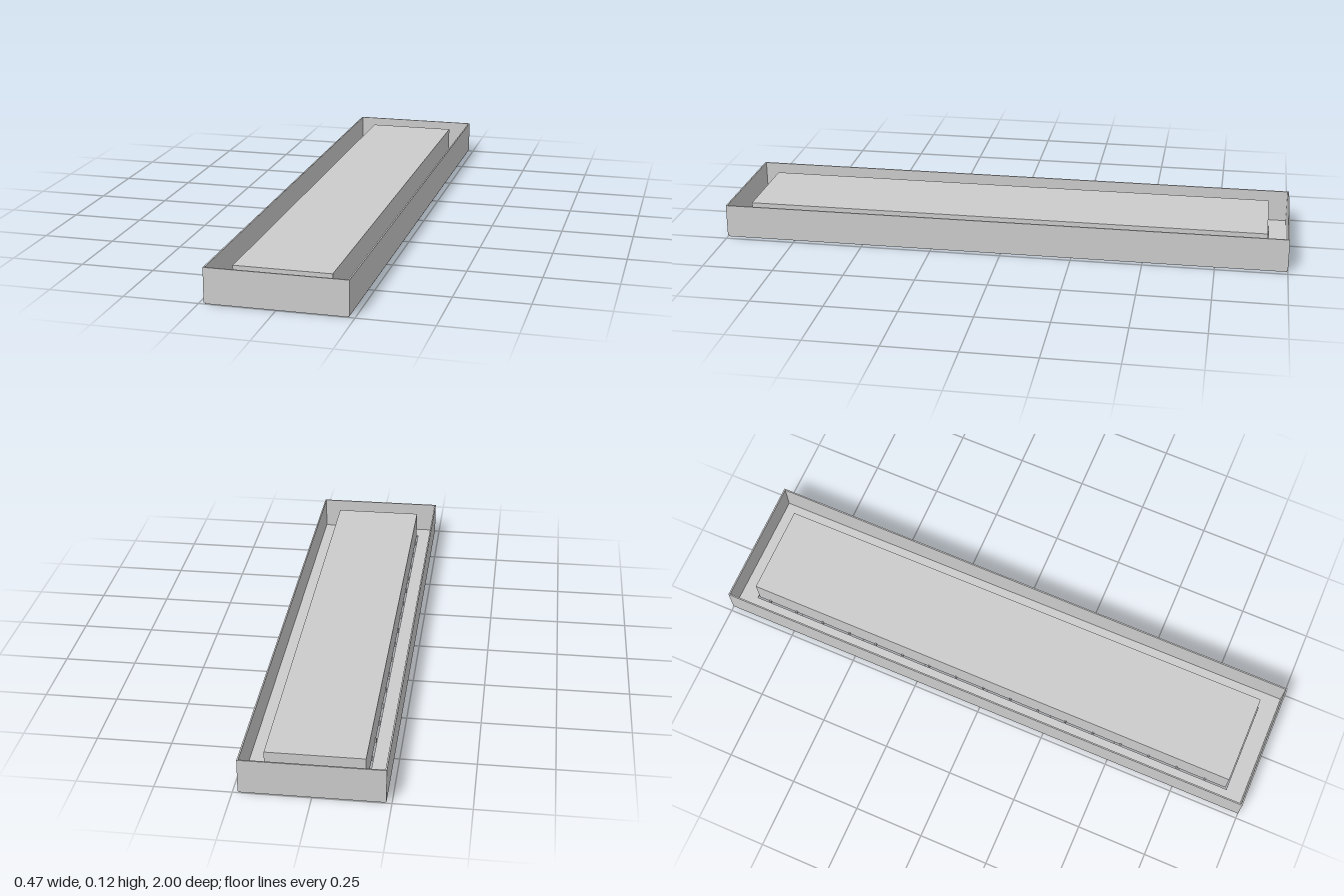
import * as THREE from 'three';

const material = new THREE.MeshStandardMaterial({ color: 0xcccccc });

function add(parent, name, geometry, x = 0, y = 0, z = 0) {
  const mesh = new THREE.Mesh(geometry, material);
  mesh.name = name;
  mesh.position.set(x, y, z);
  parent.add(mesh);
  return mesh;
}

// Four upright walls around a rectangle, given by its outer half sizes
function addWalls(parent, name, hx, hz, y0, y1, t) {
  const h = y1 - y0;
  const y = (y0 + y1) / 2;
  for (const s of [-1, 1]) {
    add(parent, name + 'Side', new THREE.BoxGeometry(t, h, hz * 2), s * (hx - t / 2), y, 0);
    add(parent, name + 'End', new THREE.BoxGeometry((hx - t) * 2, h, t), 0, y, s * (hz - t / 2));
  }
}

export function createModel() {
  const model = new THREE.Group();
  model.name = 'recessedLightFitting';

  // Outer tray walls, open at the top
  addWalls(model, 'trayWall', 0.233, 1, 0.005, 0.12, 0.005);

  // Flat bottom frame with a long rectangular opening
  const rect = (Type, hx, hz) => new Type([
    new THREE.Vector2(-hx, -hz), new THREE.Vector2(hx, -hz),
    new THREE.Vector2(hx, hz), new THREE.Vector2(-hx, hz),
  ]);
  const frame = rect(THREE.Shape, 0.23, 0.997);
  frame.holes.push(rect(THREE.Path, 0.167, 0.932));
  const frameGeometry = new THREE.ExtrudeGeometry(frame, { depth: 0.006, bevelEnabled: false });
  frameGeometry.rotateX(-Math.PI / 2);
  add(model, 'bottomFrame', frameGeometry);

  // Lamp housing, open underneath
  const housing = new THREE.Group();
  housing.name = 'lampHousing';
  addWalls(housing, 'housingWall', 0.161, 0.926, 0.004, 0.104, 0.004);
  add(housing, 'housingTop', new THREE.BoxGeometry(0.322, 0.004, 1.852), 0, 0.106, 0);
  model.add(housing);

  // Lamp tube along the middle of the housing
  const tube = new THREE.CylinderGeometry(0.033, 0.033, 1.82, 32);
  tube.rotateX(Math.PI / 2);
  add(model, 'lampTube', tube, 0, 0.058, 0);

  // Louvre blades across the opening
  const blades = new THREE.Group();
  blades.name = 'louvre';
  for (let i = 0; i < 17; i++) {
    add(blades, 'louvreBlade', new THREE.BoxGeometry(0.332, 0.016, 0.007), 0, 0.009, -0.88 + i * 0.108);
  }
  model.add(blades);

  return model;
}
